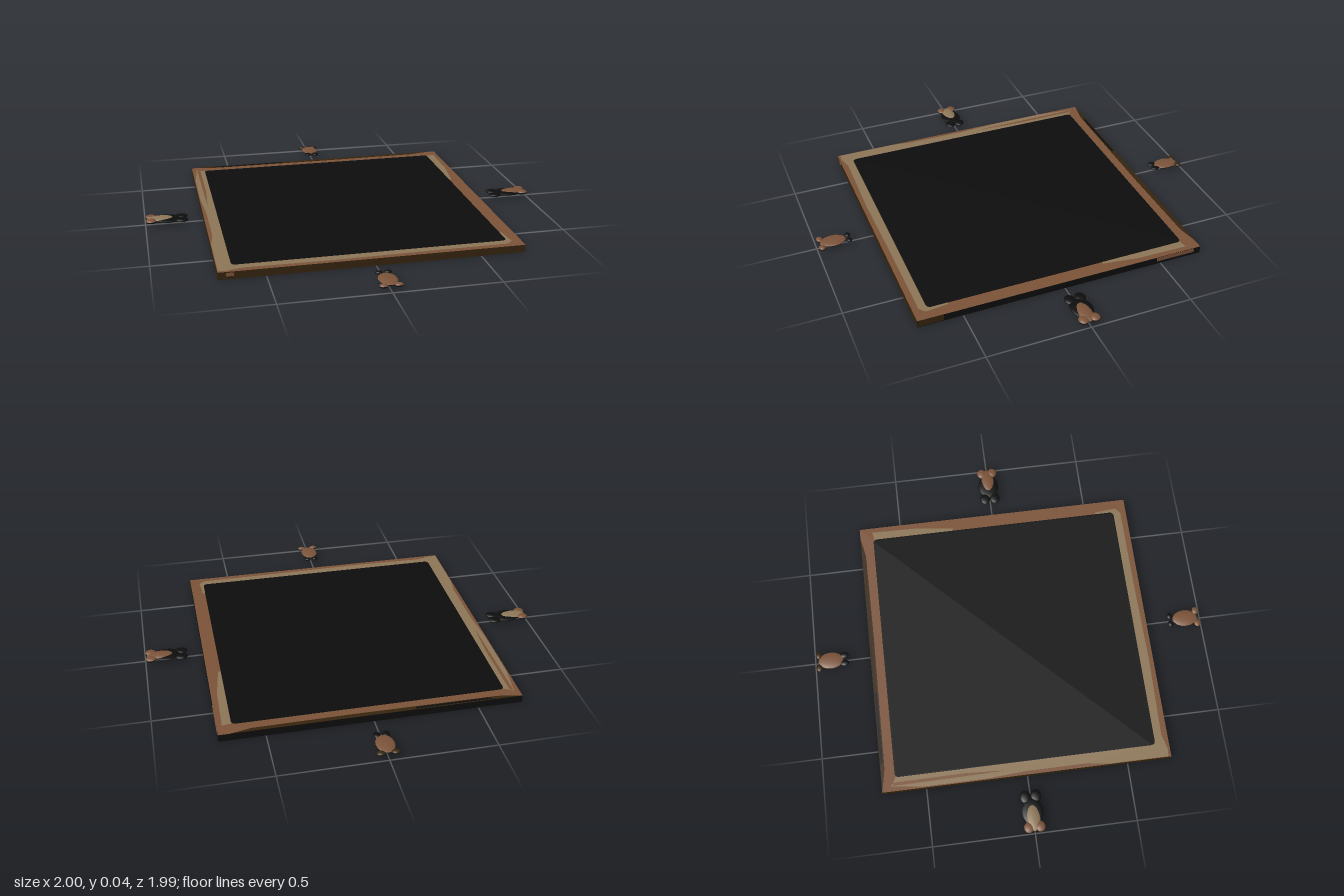
import * as THREE from 'three';

const mat = (name, color) => Object.assign(new THREE.MeshStandardMaterial({ color }), { name });

export function createModel() {
  const brown = mat('brown wood', 0x7b5339);
  const tan = mat('worn tan', 0x8c7657);
  const dark = mat('dark wood', 0x36240f);
  const black = mat('black', 0x0d0d0d);
  const model = new THREE.Group();
  model.name = 'framedBoard';

  const H = 0.715; // half width of the board
  const TOP = 0.036; // height of the board
  const add = (parent, name, geometry, material) => {
    const mesh = new THREE.Mesh(geometry, material);
    mesh.name = name;
    parent.add(mesh);
    return mesh;
  };

  // Board: brown top, darker sides and underside
  const sides = [black, dark, brown, black, dark, black];
  add(model, 'board', new THREE.BoxGeometry(2 * H, TOP, 2 * H), sides).position.y = TOP / 2;

  // Thin plates lying on the top, drawn as outlines in x and z
  const plate = (name, shape, material, thickness) => {
    const g = new THREE.ExtrudeGeometry(shape, { depth: thickness, bevelEnabled: false });
    g.rotateX(Math.PI / 2); // outline y becomes z
    add(model, name, g, material).position.y = TOP + thickness;
  };
  const outline = (pts) => new THREE.Shape(pts.map(([x, z]) => new THREE.Vector2(x, z)));

  // Inner panel with small rounded corners
  const P = 0.647, R = 0.02;
  const panel = new THREE.Shape();
  panel.moveTo(-P + R, -P);
  panel.absarc(P - R, -P + R, R, -Math.PI / 2, 0);
  panel.absarc(P - R, P - R, R, 0, Math.PI / 2);
  panel.absarc(-P + R, P - R, R, Math.PI / 2, Math.PI);
  panel.absarc(-P + R, -P + R, R, Math.PI, Math.PI * 1.5);
  plate('panel', panel, black, 0.0022);

  // Worn paint along the left, front and right rails, dark edge at the back
  plate('wornFrame', outline([
    [-0.69, -0.67], [-0.64, -0.64], [-0.64, 0.64], [0.64, 0.64], [0.645, 0.55],
    [0.658, 0.55], [0.668, 0.66], [0.64, 0.685], [0.2, 0.687], [-0.2, 0.693],
    [-0.6, 0.685], [-0.68, 0.705], [-0.712, 0.7], [-0.712, 0.4], [-0.697, 0.3],
    [-0.697, 0], [-0.71, -0.2], [-0.71, -0.5],
  ]), tan, 0.001);
  plate('wornCorner', outline([
    [0.64, -0.64], [0.69, -0.65], [0.685, -0.4], [0.66, -0.22], [0.64, -0.22],
  ]), tan, 0.001);
  plate('wornGroove', outline([
    [-0.688, -0.66], [-0.672, -0.66], [-0.67, -0.3], [-0.682, -0.1],
  ]), brown, 0.0016);
  plate('backEdge', outline([
    [-H, -H], [0.66, -H], [0.56, -0.694], [0.1, -0.69], [-0.6, -0.694],
  ]), dark, 0.001);
  plate('backEdgeShadow', outline([
    [-0.58, -0.71], [-0.2, -0.71], [-0.2, -0.698], [-0.55, -0.698],
  ]), black, 0.0016);

  // Colour patches on the sides
  const patch = (name, w, h, d, x, y, z, material) =>
    add(model, name, new THREE.BoxGeometry(w, h, d), material).position.set(x, y, z);
  patch('rightSideDark', 0.003, 0.03, 0.12, H, 0.019, 0.652, dark);
  patch('rightSideWorn', 0.003, 0.02, 0.2, H, 0.024, -0.58, brown);
  patch('frontSideWorn', 0.035, 0.016, 0.003, -0.66, 0.023, H, brown);

  // Ornaments: flattened blobs, black with a coloured upper shell; +z points outwards
  const blob = (group, name, x, z, rx, ry, rz, shell, y = 0.026) => {
    const base = add(group, name, new THREE.SphereGeometry(1, 16, 10), black);
    base.position.set(x, y, z);
    base.scale.set(rx, ry, rz);
    if (!shell) return;
    const cap = add(group, name + 'Shell',
      new THREE.SphereGeometry(1, 16, 6, 0, Math.PI * 2, 0, Math.PI * 0.45), shell);
    cap.position.copy(base.position);
    cap.scale.set(rx * 1.01, ry * 1.08, rz * 1.01);
  };
  const ornament = (name, angle, build) => {
    const group = new THREE.Group();
    group.name = name;
    group.rotation.y = angle;
    build(group);
    model.add(group);
  };

  // Short ornaments in front and behind
  const short = (footShell, legLength) => (g) => {
    blob(g, 'body', 0, 0.918, 0.044, 0.01, 0.064, brown);
    for (const s of [-1, 1]) {
      blob(g, 'outerFoot', s * 0.034, 0.978, 0.02, 0.009, 0.016, footShell);
      blob(g, 'innerFoot', s * 0.021, 0.827 + legLength, 0.017, 0.008, legLength, null);
    }
  };
  ornament('frontOrnament', 0, short(brown, 0.014));
  ornament('backOrnament', Math.PI, short(dark, 0.022));

  // Longer ornaments on both sides
  const long = (shell) => (g) => {
    blob(g, 'body', 0, 0.895, 0.053, 0.01, 0.068, null, 0.025);
    blob(g, 'back', 0, 0.925, 0.034, 0.013, 0.068, shell, 0.027);
    for (const s of [-1, 1]) {
      blob(g, 'outerFoot', s * 0.028, 0.972, 0.024, 0.011, 0.027, brown, 0.028);
      blob(g, 'innerFoot', s * 0.026, 0.822, 0.026, 0.009, 0.032, null, 0.024);
    }
  };
  ornament('leftOrnament', Math.PI / 2, long(brown));
  ornament('rightOrnament', -Math.PI / 2, long(tan));

  return model;
}
